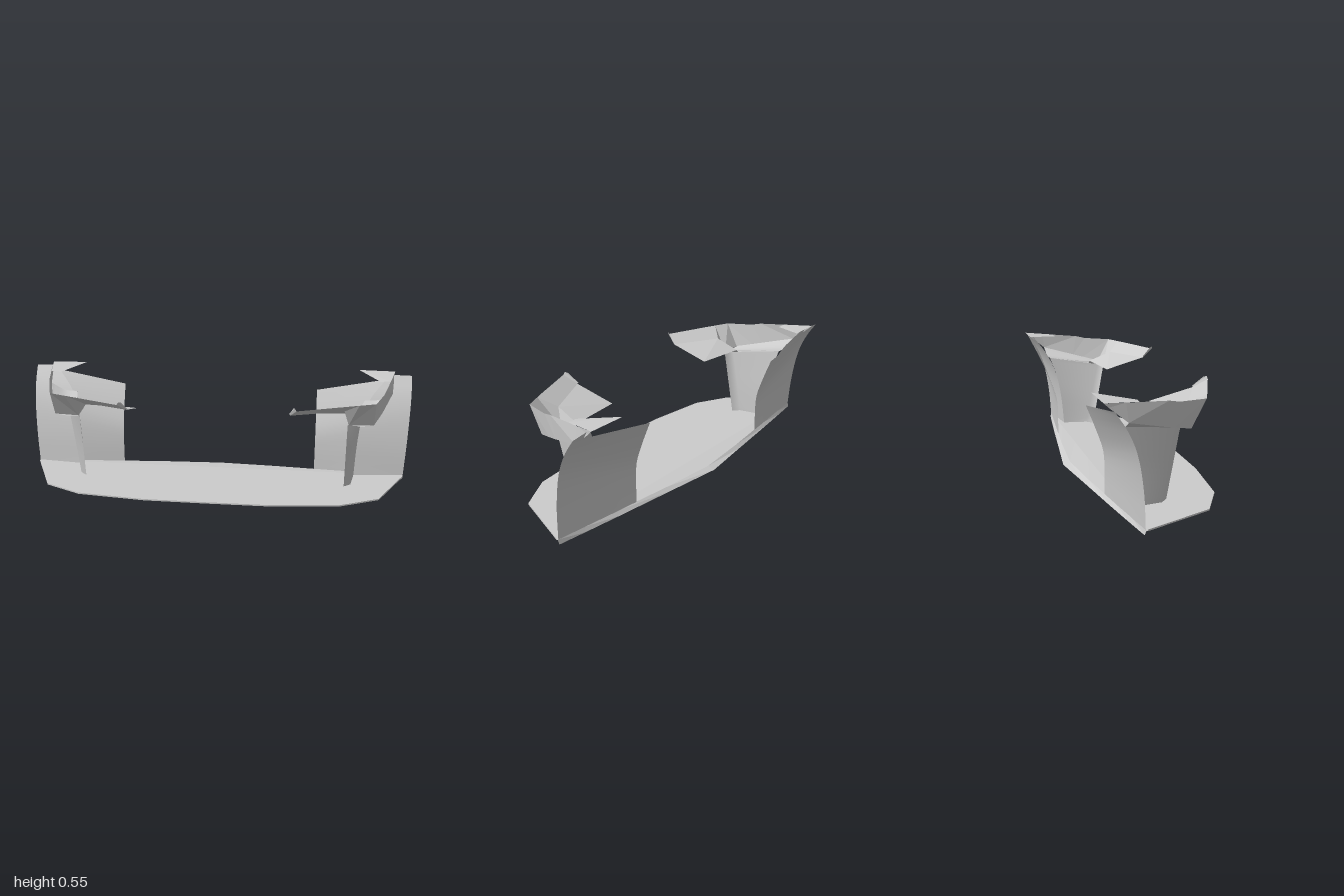
import * as THREE from 'three';

const material = (flat) => new THREE.MeshStandardMaterial({
  color: 0xcccccc, flatShading: flat, side: THREE.DoubleSide,
});

// Skin a grid of points: each row is one cross-section [x, y, z]
function skin(name, rows, { flat = true, closed = false, side = 1 } = {}) {
  const n = rows[0].length;
  const index = [];
  for (let i = 0; i < rows.length - 1; i++) {
    for (let j = 0; j < (closed ? n : n - 1); j++) {
      const k = (j + 1) % n;
      const a = i * n + j, b = i * n + k, c = a + n, d = b + n;
      if (side > 0) index.push(a, c, b, b, c, d);
      else index.push(a, b, c, b, d, c);
    }
  }
  const g = new THREE.BufferGeometry();
  const pos = rows.flat().flatMap(([x, y, z]) => [x * side, y, z]);
  g.setAttribute('position', new THREE.Float32BufferAttribute(pos, 3));
  g.setIndex(index);
  g.computeVertexNormals();
  const mesh = new THREE.Mesh(g, material(flat));
  mesh.name = name;
  return mesh;
}

// Evenly sampled smooth curve through a few points
const curve = (pts, n = 14) =>
  new THREE.CatmullRomCurve3(pts.map((p) => new THREE.Vector3(...p)))
    .getPoints(n).map((v) => v.toArray());

// Thin wedge plate: stations of [x, front z, back z (top), back z (bottom), keel height]
function floorPlate() {
  const half = [
    [0.975, -0.14, -0.15, -0.155, 0.029],
    [0.83, 0.18, -0.165, -0.175, 0.014],
    [0.64, 0.28, -0.185, -0.2, 0.0],
    [0.3, 0.32, -0.222, -0.242, 0.0],
    [0, 0.322, -0.245, -0.28, 0.0],
  ];
  const stations = [...half.map(([x, ...r]) => [-x, ...r]), ...half.slice(0, -1).reverse()];
  const rows = stations.map(([x, f, bt, bb, keel]) => {
    const inner = 1 - Math.abs(x) / 0.975;
    const mid = Math.min(0.08, (f + bb) / 2);
    return [
      [x, 0.035, f],
      [x, 0.035, Math.max(bt, -0.15)],
      [x, 0.035 - 0.01 * inner, bt],
      [x, 0.012, bb],
      [x, keel, mid - 0.08 * inner],
      [x, keel + 0.002, mid],
      [x, 0.028, f],
    ];
  });
  return skin('floorPlate', rows, { closed: true });
}

function corner(side) {
  const g = new THREE.Group();
  g.name = side > 0 ? 'leftCorner' : 'rightCorner';
  const smooth = { flat: false, side }, flat = { side };

  // Wheel arch liner and the outer panel that shares its outer edge
  const archOuter = curve([[0.975, 0.03, -0.15], [0.985, 0.2, -0.162],
    [0.993, 0.36, -0.192], [0.998, 0.46, -0.235], [1, 0.535, -0.286]]);
  const archInner = curve([[0.515, 0.012, -0.2], [0.515, 0.12, -0.199],
    [0.515, 0.23, -0.204], [0.515, 0.34, -0.24], [0.515, 0.445, -0.282]]);
  const panelInner = curve([[0.72, 0.035, -0.122], [0.73, 0.2, -0.136],
    [0.745, 0.32, -0.158], [0.79, 0.43, -0.2], [0.89, 0.54, -0.275]]);
  g.add(skin('wheelArchLiner', [archInner, archOuter], smooth));
  g.add(skin('outerPanel', [panelInner, archOuter], smooth));

  // Upright vane running from the front edge back to the outer panel
  const vaneFront = curve([[0.665, 0.035, 0.042], [0.665, 0.21, 0.074], [0.665, 0.38, 0.105]]);
  const vaneFold = curve([[0.70, 0.035, 0.01], [0.71, 0.21, 0.045], [0.72, 0.385, 0.085]]);
  const vaneBack = curve([[0.72, 0.035, -0.122], [0.73, 0.2, -0.136],
    [0.745, 0.32, -0.158], [0.76, 0.42, -0.192]]);
  g.add(skin('vane', [vaneFront, vaneFold, vaneBack], smooth));

  // Rounded gutter between the vane and the upper side panel
  const gutterFront = curve([[0.67, 0.38, 0.105], [0.73, 0.377, 0.105], [0.79, 0.385, 0.105]], 8);
  const gutterBack = curve([[0.76, 0.42, -0.192], [0.83, 0.425, -0.196], [0.9, 0.46, -0.2]], 8);
  g.add(skin('gutter', [gutterFront, gutterBack], smooth));

  // Upper side panel flaring outwards
  g.add(skin('upperSidePanel', [
    [[0.79, 0.385, 0.105], [0.79, 0.51, 0.17]],
    [[0.825, 0.405, 0.02], [0.835, 0.516, 0.035]],
    [[0.845, 0.418, -0.035], [0.85, 0.527, -0.015]],
    [[0.9, 0.46, -0.2], [0.895, 0.542, -0.21]],
    [[0.91, 0.53, -0.285], [0.915, 0.55, -0.306]],
  ], flat));

  // Triangular flap at the rear of the side panel
  g.add(skin('rearFlap', [
    [[0.915, 0.55, -0.306], [0.73, 0.552, -0.31]],
    [[0.88, 0.538, -0.15], [0.83, 0.535, -0.145]],
  ], flat));

  // Forward blade, its turned-up lip and the shelf behind it
  g.add(skin('frontBlade', [
    [[0.42, 0.508, 0.322], [0.39, 0.467, 0.26]],
    [[0.66, 0.51, 0.225], [0.645, 0.46, 0.14]],
    [[0.71, 0.51, 0.204], [0.67, 0.38, 0.105]],
    [[0.79, 0.51, 0.17], [0.79, 0.385, 0.105]],
  ], flat));
  g.add(skin('bladeLip', [
    [[0.42, 0.508, 0.322], [0.412, 0.521, 0.32], [0.405, 0.517, 0.305]],
    [[0.39, 0.467, 0.26], [0.387, 0.472, 0.26], [0.385, 0.47, 0.255]],
  ], flat));
  g.add(skin('shelf', [
    [[0.39, 0.467, 0.26], [0.38, 0.412, 0.05]],
    [[0.645, 0.46, 0.14], [0.655, 0.412, 0.02]],
    [[0.67, 0.38, 0.105], [0.675, 0.395, 0.02]],
  ], flat));
  return g;
}

export function createModel() {
  const model = new THREE.Group();
  model.name = 'frontAeroKit';
  model.add(floorPlate(), corner(1), corner(-1));
  return model;
}
